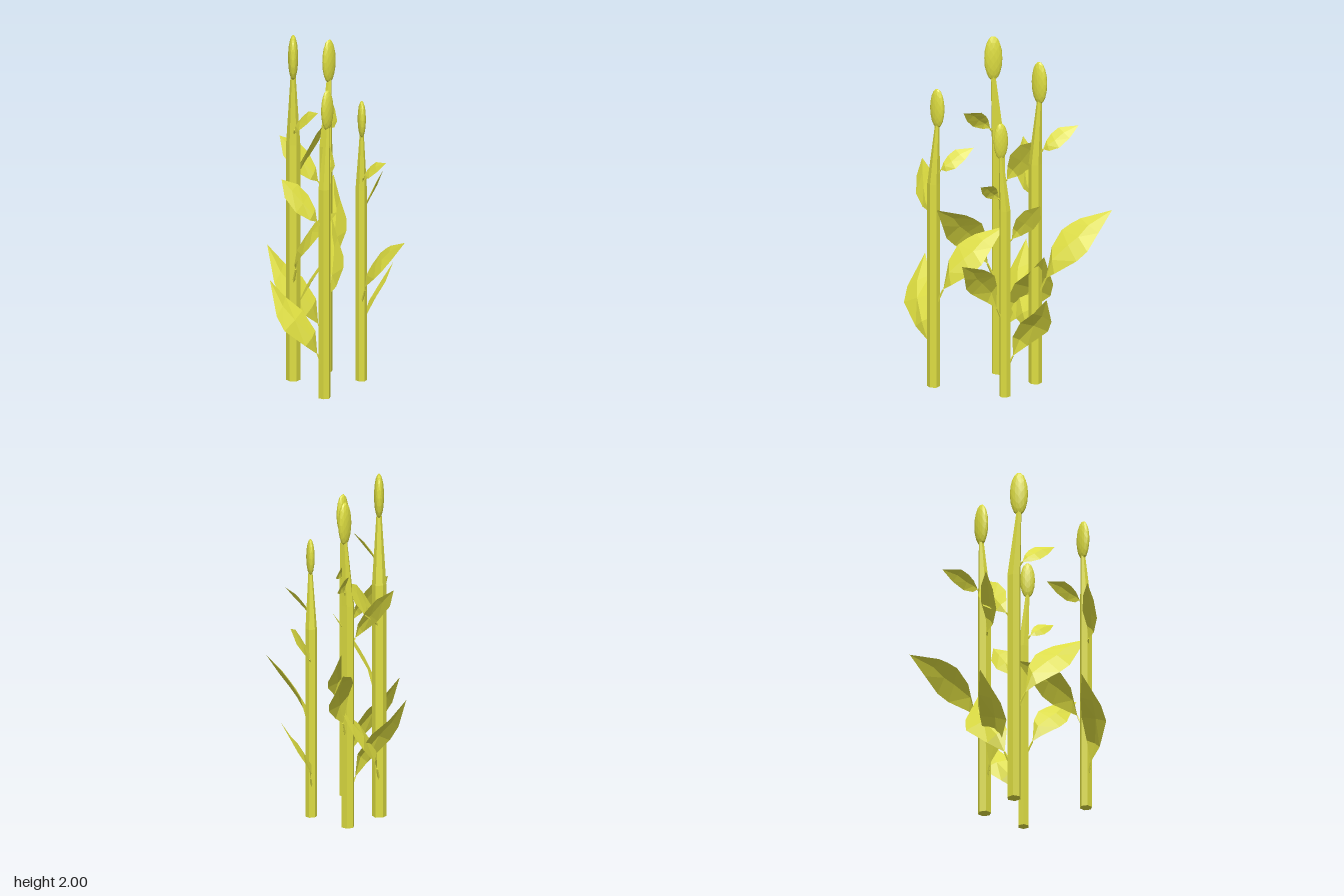
import * as THREE from 'three';

const material = new THREE.MeshStandardMaterial({ color: 0xdcdc40, flatShading: true, side: THREE.DoubleSide });

// Each leaf: root on the stem, start of the blade, tip, and pairs of edge points between them
const LEAVES = [
  { name: 'lowLeaf', root: [-0.02, 0.2, 0], base: [-0.052, 0.28, -0.012], tip: [-0.22, 0.735, -0.243], rise: 0.015,
    left: [[-0.146, 0.345, -0.025], [-0.27, 0.455, -0.087], [-0.28, 0.54, -0.14]],
    right: [[-0.043, 0.42, -0.035], [-0.076, 0.54, -0.108], [-0.145, 0.625, -0.182]] },
  { name: 'largeLeaf', root: [0.02, 0.53, 0], base: [0.06, 0.625, -0.015], tip: [0.354, 1.02, -0.24], rise: 0.015,
    left: [[0.07, 0.8, -0.06], [0.1, 0.89, -0.115], [0.145, 0.93, -0.145], [0.19, 0.96, -0.17]],
    right: [[0.12, 0.665, -0.008], [0.24, 0.75, -0.052], [0.287, 0.805, -0.09], [0.315, 0.9, -0.16]] },
  { name: 'smallLeftLeaf', root: [-0.015, 1.06, 0], base: [-0.043, 1.1, -0.02], tip: [-0.195, 1.37, -0.173], rise: 0.008,
    left: [[-0.1, 1.12, -0.03], [-0.175, 1.175, -0.075], [-0.21, 1.265, -0.135]],
    right: [[-0.045, 1.18, -0.035], [-0.055, 1.26, -0.08], [-0.103, 1.33, -0.123]] },
  { name: 'smallRightLeaf', root: [0.012, 1.34, 0], base: [0.045, 1.39, -0.01], tip: [0.2, 1.525, -0.135], rise: 0.008,
    left: [[0.055, 1.44, -0.03], [0.07, 1.475, -0.055], [0.1, 1.508, -0.085]],
    right: [[0.085, 1.388, -0.01], [0.137, 1.41, -0.032], [0.175, 1.46, -0.08]] },
];

const vec = (p) => new THREE.Vector3(...p);

function addMesh(parent, name, geometry) {
  const mesh = new THREE.Mesh(geometry, material);
  mesh.name = name;
  parent.add(mesh);
  return mesh;
}

// Blade with a raised midrib, plus a thin stalk
function makeLeaf({ name, root, base, tip, left, right, rise }) {
  const leaf = new THREE.Group();
  leaf.name = name;
  const start = vec(base), end = vec(tip), from = vec(root);

  const across = vec(right[1]).sub(vec(left[1]));
  const up = across.cross(end.clone().sub(start)).normalize();

  // Cross-section rows: left edge, midrib, right edge
  const rows = [[start, start, start]];
  left.forEach((p, i) => {
    const l = vec(p), r = vec(right[i]);
    rows.push([l, l.clone().lerp(r, 0.5).addScaledVector(up, rise), r]);
  });
  rows.push([end, end, end]);

  const points = [];
  for (let i = 0; i < rows.length - 1; i++) {
    for (let j = 0; j < 2; j++) {
      const a = rows[i][j], b = rows[i][j + 1], c = rows[i + 1][j + 1], d = rows[i + 1][j];
      if (i > 0) points.push(a, b, c);
      if (i < rows.length - 2) points.push(a, c, d);
    }
  }
  const blade = new THREE.BufferGeometry().setFromPoints(points);
  blade.computeVertexNormals();
  addMesh(leaf, 'blade', blade);

  const axis = start.clone().sub(from);
  const stalk = addMesh(leaf, 'leafStalk', new THREE.CylinderGeometry(0.005, 0.008, axis.length(), 4));
  stalk.position.copy(from).lerp(start, 0.5);
  stalk.quaternion.setFromUnitVectors(new THREE.Vector3(0, 1, 0), axis.normalize());
  return leaf;
}

// Six-sided stem, straight up to the bend, then tapering and leaning to the bud
function makeStem() {
  const geometry = new THREE.CylinderGeometry(1, 1, 2, 6, 2);
  const rings = [[0, 0.038, 0], [1.3, 0.038, 0], [1.68, 0.014, 0.027]]; // height, radius, lean
  const pos = geometry.attributes.position;
  for (let i = 0; i < pos.count; i++) {
    const [y, r, lean] = rings[Math.round(pos.getY(i)) + 1];
    pos.setXYZ(i, pos.getX(i) * r + lean, y, pos.getZ(i) * r);
  }
  geometry.computeVertexNormals();
  return geometry;
}

function makePlant() {
  const plant = new THREE.Group();
  plant.name = 'plant';
  addMesh(plant, 'stem', makeStem());
  // Flattened, faceted oval bud
  const bud = addMesh(plant, 'bud', new THREE.IcosahedronGeometry(1, 2));
  bud.scale.set(0.049, 0.126, 0.027);
  bud.position.set(0.027, 1.784, 0);
  LEAVES.forEach((leaf) => plant.add(makeLeaf(leaf)));
  return plant;
}

export function createModel() {
  const model = new THREE.Group();
  model.name = 'budPlants';
  // x, z, scale, turn in degrees
  const places = [
    [-0.27, 0.16, 0.927, 0],
    [-0.087, -0.22, 1.047, -141],
    [0.173, -0.2, 1, 0],
    [0.15, 0.076, 0.848, -132],
  ];
  for (const [x, z, size, turn] of places) {
    const plant = makePlant();
    plant.position.set(x, 0, z);
    plant.scale.setScalar(size);
    plant.rotation.y = THREE.MathUtils.degToRad(turn);
    model.add(plant);
  }
  return model;
}
